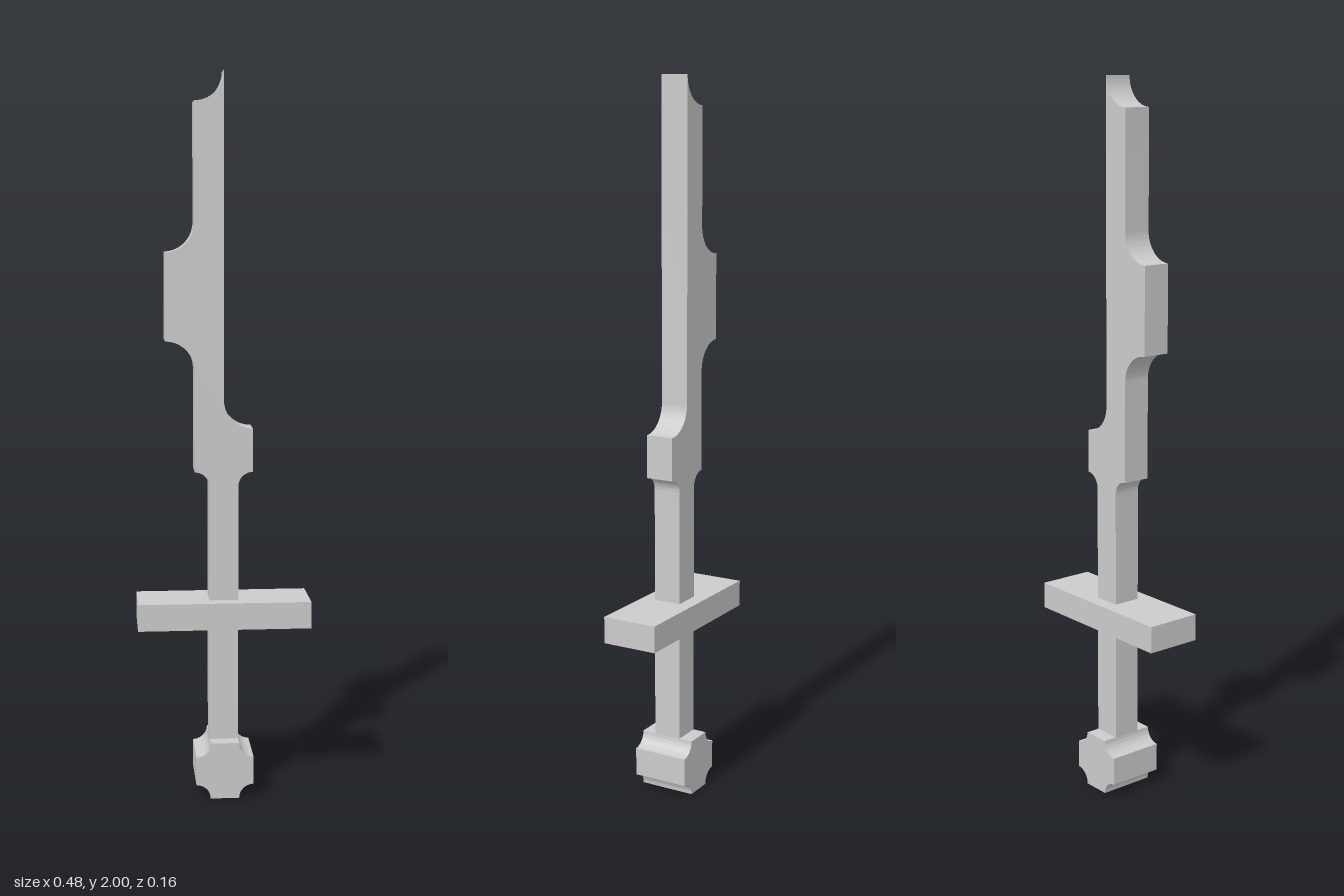
import * as THREE from 'three';
import { toCreasedNormals } from 'three/addons/utils/BufferGeometryUtils.js';

const material = new THREE.MeshStandardMaterial({ color: 0xcccccc });

// Outline made of concave quarter-circle notches joined by straight edges.
// Each notch is [centreX, centreY, radius, startQuarter], running clockwise round the part.
function notchedShape(notches, corners = []) {
  const shape = new THREE.Shape();
  for (const [x, y, r, quarter] of notches) {
    const start = quarter * Math.PI / 2;
    shape.absarc(x, y, r, start, start + Math.PI / 2, false);
  }
  for (const [x, y] of corners) shape.lineTo(x, y);
  shape.closePath();
  return shape;
}

function addExtruded(group, name, shape, depth) {
  const geometry = new THREE.ExtrudeGeometry(shape, { depth, bevelEnabled: false, curveSegments: 16 });
  geometry.translate(0, 0, -depth / 2);
  const mesh = new THREE.Mesh(toCreasedNormals(geometry, 0.5), material);
  mesh.name = name;
  group.add(mesh);
}

function addBox(group, name, width, bottom, top, depth) {
  const mesh = new THREE.Mesh(new THREE.BoxGeometry(width, top - bottom, depth), material);
  mesh.position.y = (bottom + top) / 2;
  mesh.name = name;
  group.add(mesh);
}

export function createModel() {
  const sword = new THREE.Group();
  sword.name = 'sword';

  // Pommel: square block with four scooped corners
  addExtruded(sword, 'pommel', notchedShape([
    [-0.08, 0, 0.04, 0],
    [-0.08, 0.16, 0.04, 3],
    [0.08, 0.16, 0.04, 2],
    [0.08, 0, 0.04, 1],
  ]), 0.16);

  // Grip and crossguard
  addBox(sword, 'grip', 0.08, 0.16, 0.485, 0.08);
  addBox(sword, 'crossguard', 0.48, 0.485, 0.56, 0.16);

  // Blade: narrow neck, stepped base, side lug and scooped tip
  addExtruded(sword, 'blade', notchedShape([
    [-0.08, 0.88, 0.04, 0],
    [-0.16, 1.2, 0.08, 0],
    [-0.16, 1.6, 0.08, 3],
    [-0.08, 2, 0.08, 3],
    [0.08, 1.12, 0.08, 2],
    [0.08, 0.88, 0.04, 1],
  ], [[0.04, 0.56], [-0.04, 0.56]]), 0.08);

  return sword;
}
